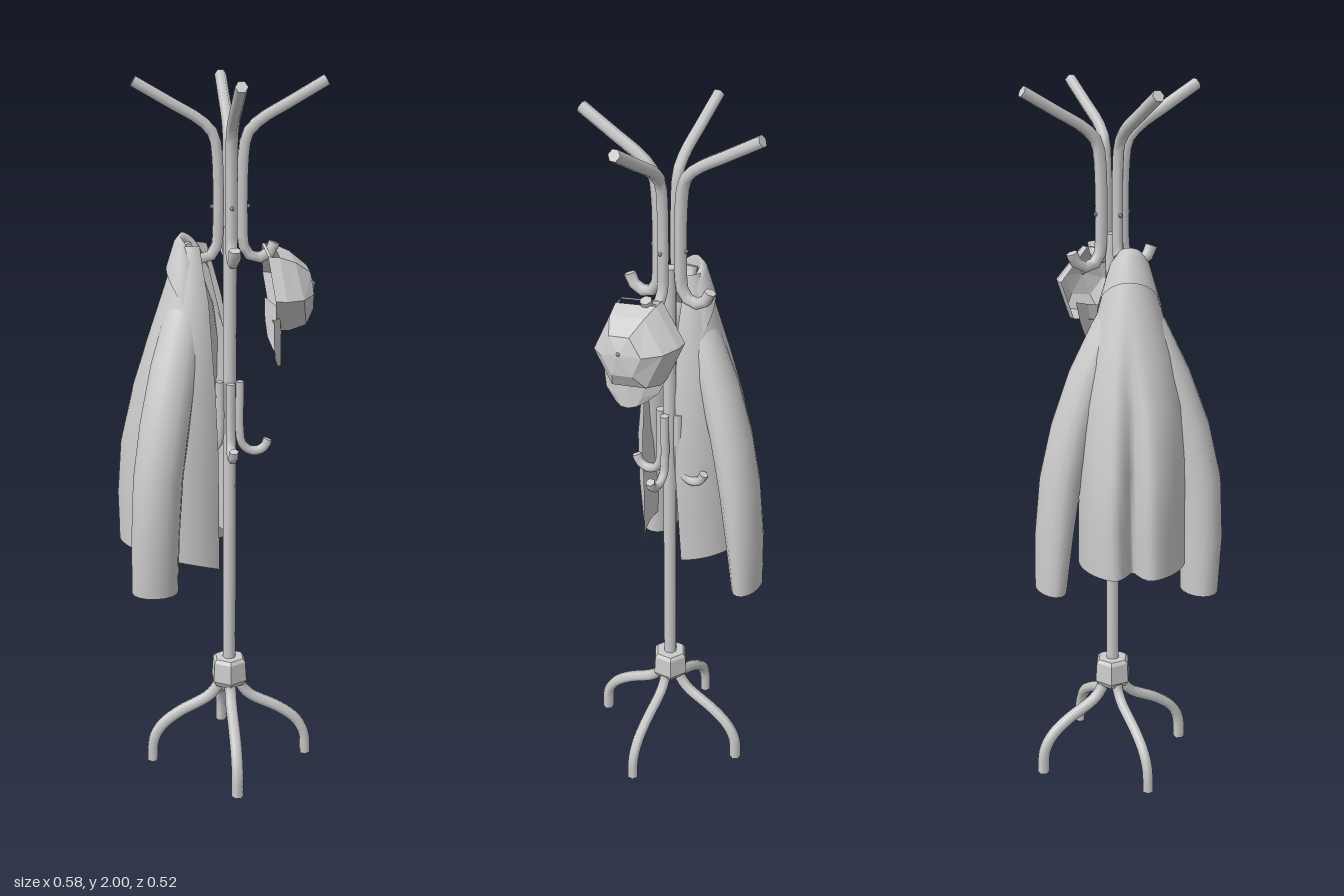
import * as THREE from 'three';

const POLE_X = 0.029;
const smooth = new THREE.MeshStandardMaterial({ color: 0xcccccc });
const metal = new THREE.MeshStandardMaterial({ color: 0xcccccc, flatShading: true });
const facet = new THREE.MeshStandardMaterial({ color: 0xcccccc, flatShading: true, side: THREE.DoubleSide });
const cloth = new THREE.MeshStandardMaterial({ color: 0xcccccc, side: THREE.DoubleSide });

function add(parent, geometry, material, name) {
  const mesh = new THREE.Mesh(geometry, material);
  mesh.name = name;
  parent.add(mesh);
  return mesh;
}

// Skin a list of equally long point rows
function loft(rows, closed) {
  const n = rows[0].length, index = [];
  for (let i = 0; i < rows.length - 1; i++) {
    for (let j = 0; j < (closed ? n : n - 1); j++) {
      const k = (j + 1) % n, a = i * n;
      index.push(a + j, a + n + j, a + k, a + k, a + n + j, a + n + k);
    }
  }
  const g = new THREE.BufferGeometry();
  g.setAttribute('position', new THREE.Float32BufferAttribute(rows.flat(2), 3));
  g.setIndex(index);
  g.computeVertexNormals();
  return g;
}

// Capped hexagonal rod through [radius, height] points
function rod(parent, points, radius, name) {
  const part = new THREE.Group();
  part.name = name;
  const curve = new THREE.CatmullRomCurve3(points.map(([r, y]) => new THREE.Vector3(r, y, 0)), false, 'centripetal');
  add(part, new THREE.TubeGeometry(curve, 22, radius, 6), smooth, name + 'Rod');
  for (const t of [0, 1]) {
    const cap = add(part, new THREE.CircleGeometry(radius, 6), facet, name + 'End');
    cap.position.copy(curve.getPoint(t));
    cap.lookAt(cap.position.clone().addScaledVector(curve.getTangent(t), t ? 1 : -1));
  }
  parent.add(part);
}

function buildStand() {
  const stand = new THREE.Group();
  stand.name = 'stand';
  stand.position.x = POLE_X;
  const pole = add(stand, new THREE.CylinderGeometry(0.019, 0.019, 1.34, 8), smooth, 'pole');
  pole.position.y = 0.93;
  const hub = [[0, 0.245], [0.045, 0.245], [0.056, 0.262], [0.052, 0.32], [0.044, 0.33], [0, 0.33]];
  add(stand, new THREE.LatheGeometry(hub.map(p => new THREE.Vector2(...p)), 6), metal, 'hub');

  for (let i = 0; i < 4; i++) {
    const side = new THREE.Group();
    side.name = 'spoke';
    side.rotation.y = i * Math.PI / 2;
    rod(side, [[0.03, 0.27], [0.034, 0.24], [0.06, 0.205], [0.15, 0.155], [0.2, 0.115],
      [0.225, 0.07], [0.231, 0]], 0.017, 'leg');
    rod(side, [[0.254, 1.982], [0.16, 1.928], [0.075, 1.878], [0.045, 1.845], [0.036, 1.8], [0.033, 1.6],
      [0.038, 1.545], [0.06, 1.518], [0.09, 1.518], [0.112, 1.535], [0.12, 1.557]], 0.0165, 'arm');
    rod(side, [[0.028, 1.17], [0.028, 1.03], [0.035, 0.99], [0.055, 0.97], [0.08, 0.967],
      [0.1, 0.98], [0.108, 1.0]], 0.0135, 'lowerHook');
    const screw = add(side, new THREE.SphereGeometry(0.006, 6, 4), metal, 'screw');
    screw.position.set(0.049, 1.655, 0);
    stand.add(side);
  }
  return stand;
}

// Crown opens toward the pole, visor hangs below
function buildCap() {
  const cap = new THREE.Group();
  cap.name = 'cap';
  const tilt = 0.14;
  const ring = (x, r, cy, cz, lean) => Array.from({ length: 6 }, (_, j) => {
    const a = (j + 0.5) * Math.PI / 3 + tilt;
    return [x - lean * r * Math.cos(a), cy + r * Math.cos(a), cz + r * Math.sin(a)];
  });
  const rim = ring(0.134, 0.12, 1.438, 0.014, 0.14);
  const low = ring(0.165, 0.12, 1.436, 0.015, 0.14);
  const mid = ring(0.212, 0.102, 1.434, 0.017, 0.2);
  const top = ring(0.246, 0.06, 1.436, 0.019, 0.12);
  const apex = Array(6).fill([0.256, 1.446, 0.02]);
  add(cap, loft([low, mid, top, apex], true), facet, 'crown');
  add(cap, loft([rim, low], false), facet, 'band');
  // strap leaves an adjusting hole at the back of the cap
  const inset = rim.map(([x, y, z]) => [x + 0.009, y, z]);
  add(cap, loft([[rim[5], rim[0]], [inset[5], inset[0]]], false), facet, 'strap');
  const button = add(cap, new THREE.SphereGeometry(0.006, 6, 4), metal, 'button');
  button.position.set(0.255, 1.446, 0.02);

  // arched visor
  const visor = [[1.37, 0.095, 0.034], [1.31, 0.095, 0.047], [1.265, 0.082, 0.052], [1.235, 0.048, 0.05]]
    .map(([y, half, z]) => [-1, -0.5, 0, 0.5, 1].map(s => {
      const arch = s * s;
      return [0.165 - 0.035 * arch * half / 0.1, y + 0.012 * arch - 0.012 * s, z + half * s];
    }));
  add(cap, loft(visor, false), facet, 'visor');
  return cap;
}

// Jacket plan axes: across the shoulders, and out through its back
const U = [0.45, -0.89], N = [-0.89, -0.45];
const plan = (cx, cz, s, t, y) => [cx + U[0] * s + N[0] * t, y, cz + U[1] * s + N[1] * t];

function buildJacket() {
  const jacket = new THREE.Group();
  jacket.name = 'jacket';

  // body rows: height, centre x and z, half width, front and back depth, pleat depth, left and right front gaps
  const levels = [
    [1.555, -0.072, 0.0, 0.04, 0.04, 0.04, 0, 0.7, 0.7],
    [1.49, -0.074, 0.0, 0.062, 0.06, 0.06, 0, 0.65, 0.65],
    [1.41, -0.076, 0.0, 0.086, 0.084, 0.084, 0, 0.6, 0.6],
    [1.3, -0.085, 0.0, 0.115, 0.108, 0.112, 0.04, 0.55, 0.58],
    [1.17, -0.095, 0.0, 0.138, 0.132, 0.145, 0.16, 0.5, 0.6],
    [1.0, -0.105, -0.005, 0.146, 0.153, 0.178, 0.33, 0.48, 0.62],
    [0.85, -0.11, -0.01, 0.148, 0.158, 0.185, 0.38, 0.45, 0.65],
    [0.712, -0.11, -0.01, 0.15, 0.156, 0.182, 0.38, 0.42, 0.7],
  ];
  const steps = 64;
  const body = levels.map(([y, cx, cz, w, front, back, pleat, gapL, gapR], i) =>
    Array.from({ length: steps + 1 }, (_, j) => {
      const a = -Math.PI + gapL + (2 * Math.PI - gapL - gapR) * j / steps;
      // deep pleat down the middle of the back
      const r = 1 - pleat * Math.exp(-Math.pow((a + 0.02) / 0.2, 2));
      const hem = i === levels.length - 1 ? Math.pow(Math.abs(a) / Math.PI, 3) * (a < 0 ? 0.09 : 0.05) : 0;
      const depth = Math.cos(a) > 0 ? back : front;
      return plan(cx, cz, w * r * Math.sin(a), depth * r * Math.cos(a), y - hem);
    }));
  add(jacket, loft(body, false), cloth, 'jacketBody');

  // sleeve rows: centre x, y, z, then half sizes in x and z
  const sleeves = {
    frontSleeve: [[-0.085, 1.46, 0.02, 0.03, 0.03], [-0.1, 1.38, 0.05, 0.052, 0.042],
      [-0.13, 1.25, 0.092, 0.064, 0.054], [-0.16, 1.1, 0.135, 0.068, 0.058],
      [-0.182, 0.95, 0.16, 0.068, 0.06], [-0.192, 0.78, 0.166, 0.066, 0.057], [-0.195, 0.615, 0.16, 0.064, 0.05]],
    backSleeve: [[-0.07, 1.46, -0.025, 0.03, 0.03], [-0.062, 1.38, -0.055, 0.05, 0.045],
      [-0.05, 1.25, -0.108, 0.062, 0.054], [-0.04, 1.1, -0.156, 0.07, 0.056],
      [-0.032, 0.95, -0.19, 0.074, 0.054], [-0.03, 0.78, -0.212, 0.074, 0.048], [-0.03, 0.625, -0.224, 0.068, 0.038]],
  };
  for (const [name, rows] of Object.entries(sleeves)) {
    const rings = rows.map(([x, y, z, rx, rz]) => Array.from({ length: 16 }, (_, j) => {
      const a = -j * Math.PI / 8;
      return [x + rx * Math.cos(a), y, z + rz * Math.sin(a)];
    }));
    add(jacket, loft(rings, true), cloth, name);
  }

  // collar peaks at the nape and folds over, its ends fall as lapels
  const fold = [[1.51, 0.03, 0], [1.565, 0.024, 0], [1.585, 0.034, 0.02], [1.565, 0.052, 0.1], [1.5, 0.075, 0.9]];
  const collar = fold.map(([y, r, fall]) => Array.from({ length: 25 }, (_, j) => {
    const a = -2.45 + 4.9 * j / 24;
    const end = Math.pow(a / 2.45, 2);
    const rr = r + 0.03 * end * fall;
    return plan(-0.075, 0, rr * Math.sin(a), 0.9 * rr * Math.cos(a), y - 0.07 * end - 0.14 * end * fall);
  }));
  add(jacket, loft(collar, false), cloth, 'collar');
  return jacket;
}

export function createModel() {
  const model = new THREE.Group();
  model.name = 'coatStand';
  model.add(buildStand(), buildCap(), buildJacket());
  return model;
}
